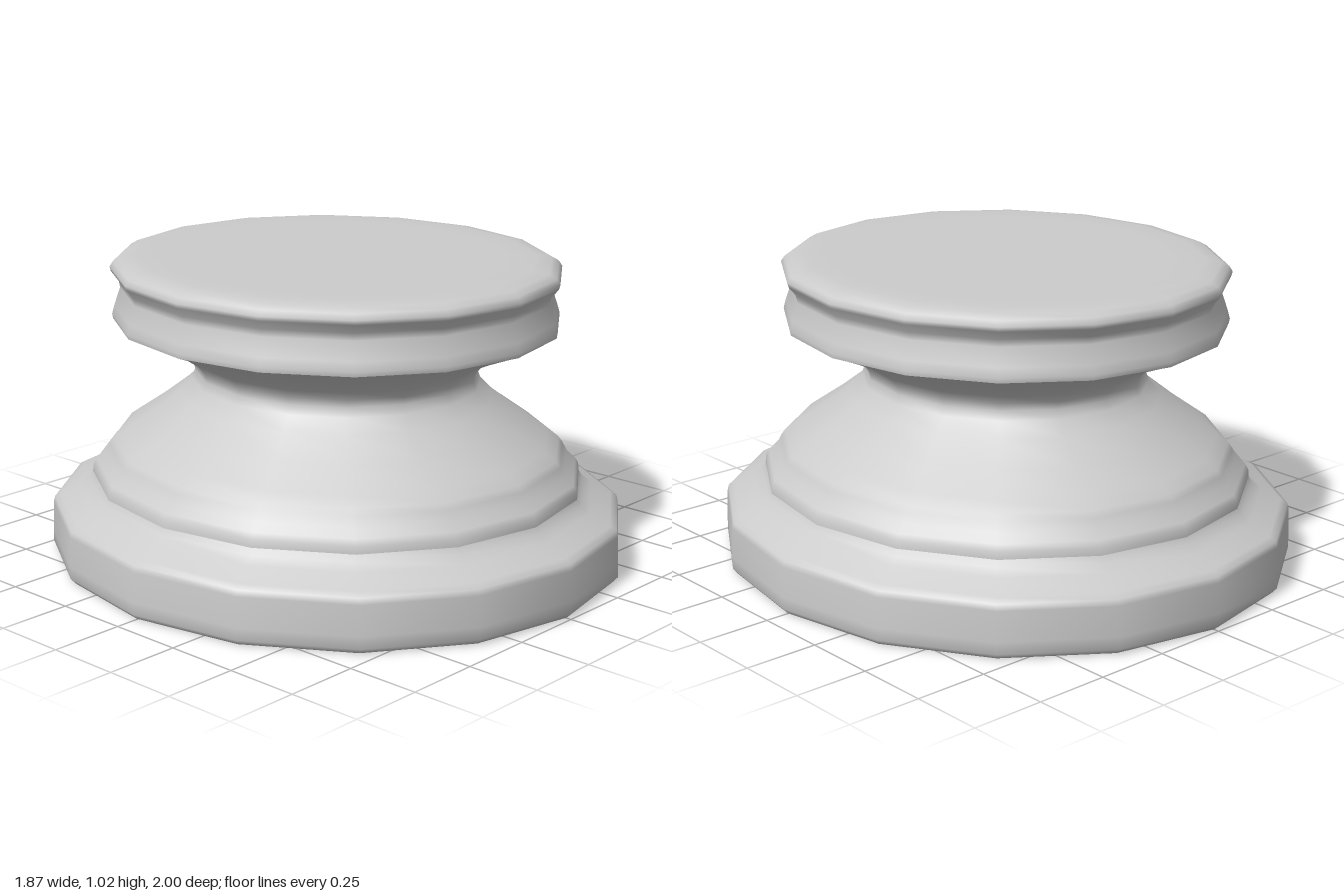
import * as THREE from 'three';

const SIDES = 16;
const WIDTH = 0.935; // the plan is slightly narrower in x than in z

// Profiles run upward as [radius in x, height]; each starts where the last one ends.
const profiles = {
  base: [
    [0, 0], [0.85, 0], [0.92, 0.002], [0.935, 0.02], [0.935, 0.06], [0.931, 0.16],
    [0.926, 0.18], [0.905, 0.193], [0.84, 0.228], [0.81, 0.25], [0.798, 0.27],
  ],
  taperedNeck: [
    [0.798, 0.27], [0.796, 0.295], [0.785, 0.315], [0.757, 0.34], [0.742, 0.37], [0.728, 0.39],
    [0.69, 0.418], [0.6, 0.483], [0.51, 0.555], [0.468, 0.6], [0.457, 0.63], [0.46, 0.655],
    [0.482, 0.685], [0.54, 0.725], [0.61, 0.76], [0.68, 0.79], [0.717, 0.804],
  ],
  knob: [
    [0.717, 0.804], [0.72, 0.82], [0.712, 0.85], [0.692, 0.91], [0.696, 0.935], [0.72, 0.965],
    [0.724, 0.98], [0.713, 0.998], [0.69, 1.012], [0.64, 1.02], [0.55, 1.021], [0, 1.021],
  ],
};

// Turned part with an oval plan
function turnedPart(name, profile, material) {
  const points = profile.map(([r, y]) => new THREE.Vector2(r / WIDTH, y));
  const geometry = new THREE.LatheGeometry(points, SIDES);
  geometry.scale(WIDTH, 1, 1);
  const mesh = new THREE.Mesh(geometry, material);
  mesh.name = name;
  return mesh;
}

export function createModel() {
  const group = new THREE.Group();
  group.name = 'turnedPedestal';
  const material = new THREE.MeshStandardMaterial({ color: 0xcccccc });
  for (const [name, profile] of Object.entries(profiles)) {
    group.add(turnedPart(name, profile, material));
  }
  return group;
}
